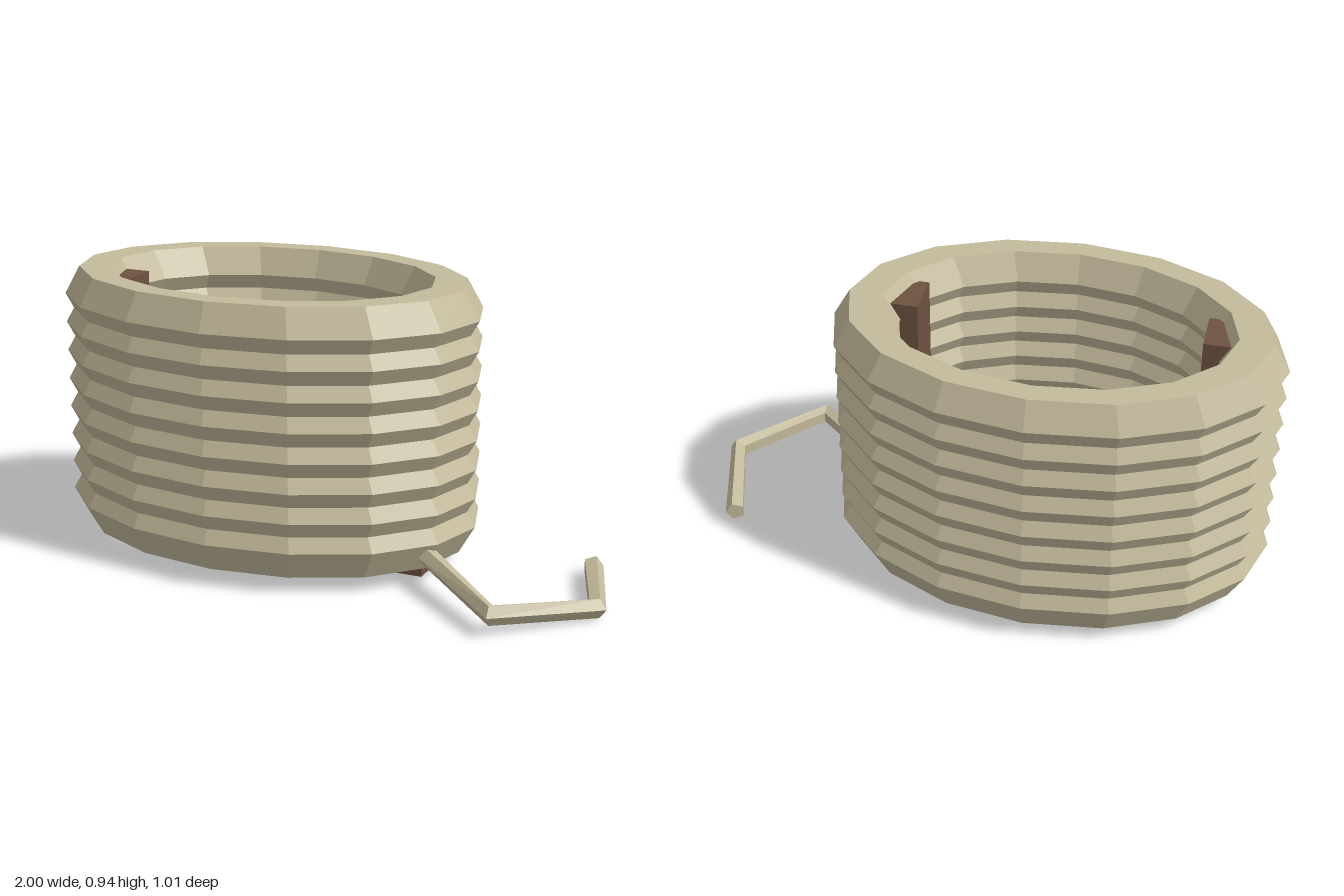
import * as THREE from 'three';

const rope = new THREE.MeshStandardMaterial({ color: 0xc4bb9c, flatShading: true });
rope.name = 'rope';
const wood = new THREE.MeshStandardMaterial({ color: 0x6e5240, flatShading: true });
wood.name = 'wood';

function add(parent, name, geometry, material, x = 0, y = 0, z = 0) {
  const mesh = new THREE.Mesh(geometry, material);
  mesh.name = name;
  mesh.position.set(x, y, z);
  parent.add(mesh);
  return mesh;
}

// Five-sided strand swept along a bent path, with closed ends
function strandGeometry(points, radius, sides) {
  const up = new THREE.Vector3(0, 1, 0);
  const positions = [], index = [];
  points.forEach((p, i) => {
    const tangent = new THREE.Vector3();
    if (i > 0) tangent.add(p.clone().sub(points[i - 1]).normalize());
    if (i < points.length - 1) tangent.add(points[i + 1].clone().sub(p).normalize());
    const out = tangent.cross(up).normalize();
    for (let k = 0; k < sides; k++) {
      const a = (k / sides) * Math.PI * 2;
      const v = p.clone().addScaledVector(out, radius * Math.cos(a)).addScaledVector(up, radius * Math.sin(a));
      positions.push(v.x, v.y, v.z);
    }
  });
  const last = (points.length - 1) * sides;
  for (let i = 0; i < last; i += sides) {
    for (let k = 0; k < sides; k++) {
      const n = (k + 1) % sides;
      index.push(i + k, i + sides + n, i + n, i + k, i + sides + k, i + sides + n);
    }
  }
  for (let k = 1; k < sides - 1; k++) {
    index.push(0, k, k + 1, last, last + k + 1, last + k);
  }
  const g = new THREE.BufferGeometry();
  g.setAttribute('position', new THREE.Float32BufferAttribute(positions, 3));
  g.setIndex(index);
  const flat = g.toNonIndexed();
  flat.computeVertexNormals();
  return flat;
}

export function createModel() {
  const model = new THREE.Group();
  model.name = 'ropeCoil';

  // Stacked oval loops of rope
  const loop = new THREE.TorusGeometry(0.63, 0.11, 6, 16);
  loop.rotateX(Math.PI / 2);
  loop.scale(1, 1, 0.681);
  const coil = new THREE.Group();
  coil.name = 'coil';
  coil.position.set(-0.26, 0, -0.006);
  model.add(coil);
  for (let i = 0; i < 8; i++) add(coil, `loop${i + 1}`, loop, rope, 0, 0.15 + i * 0.1, 0);

  // Upright posts bracing the inside of the coil
  const post = new THREE.BoxGeometry(0.155, 0.893, 0.155);
  for (const side of [-1, 1]) {
    add(model, side < 0 ? 'rightPost' : 'leftPost', post, wood, -0.261 + side * 0.54, 0.4615, 0.078);
  }

  // Loose end of the rope trailing on the ground
  const path = [
    [0.385, 0.105, 0.185],
    [0.70, 0.07, 0.471],
    [0.964, 0.041, 0.222],
    [0.853, 0.034, -0.126],
  ].map((p) => new THREE.Vector3(...p));
  add(model, 'looseEnd', strandGeometry(path, 0.034, 5), rope);

  return model;
}
